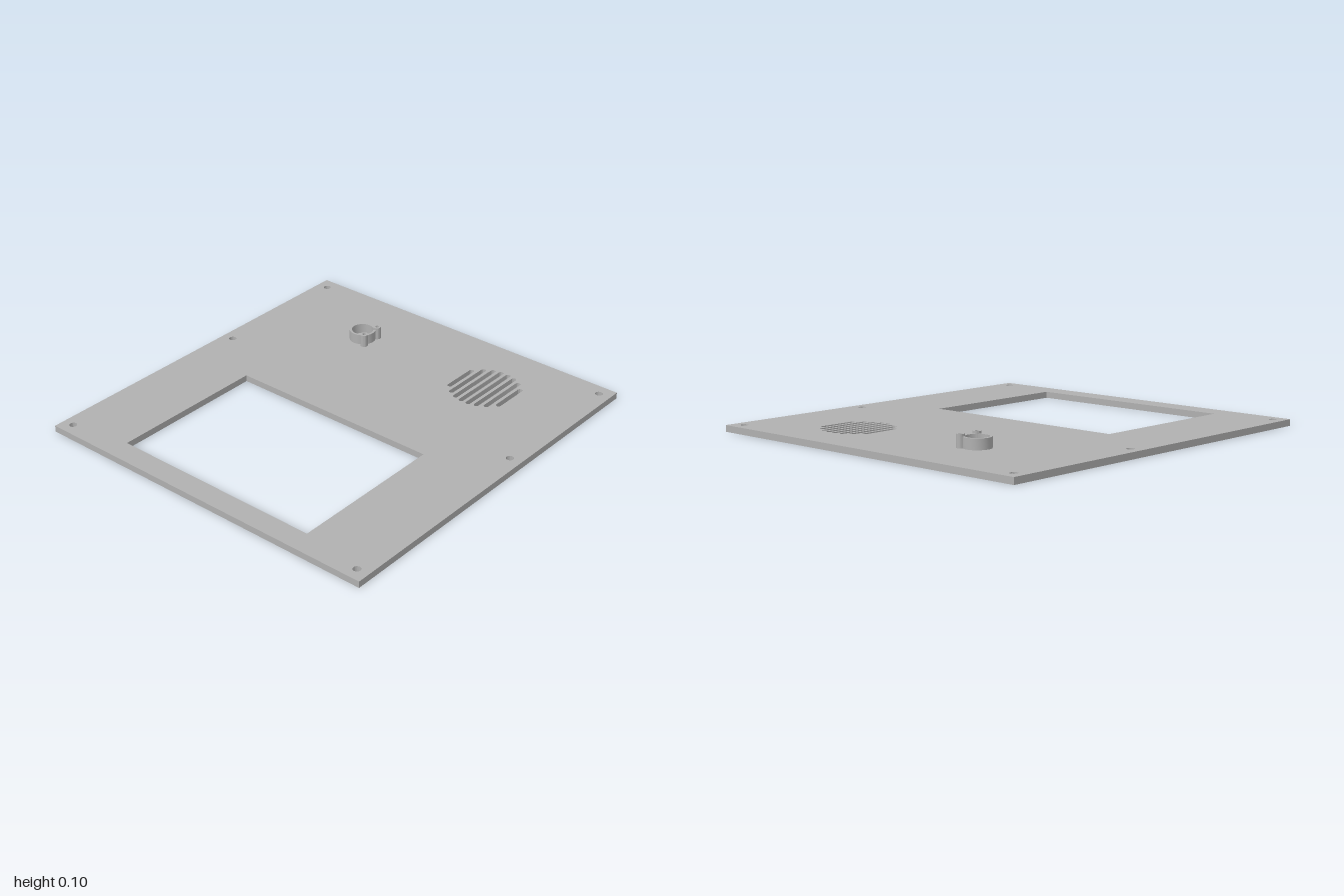
import * as THREE from 'three';
import { toCreasedNormals } from 'three/addons/utils/BufferGeometryUtils.js';

const T = 0.033; // plate thickness

function circle(x, z, r, Type = THREE.Path) {
  const p = new Type();
  p.absarc(x, -z, r, 0, Math.PI * 2, false);
  return p;
}

function rect(x0, x1, z0, z1, Type = THREE.Path) {
  return new Type([[x0, -z1], [x1, -z1], [x1, -z0], [x0, -z0]].map(([x, y]) => new THREE.Vector2(x, y)));
}

// Round-ended slot along x
function slot(x, z, half, r) {
  const p = new THREE.Path();
  p.absarc(x + half - r, -z, r, -Math.PI / 2, Math.PI / 2, false);
  p.absarc(x - half + r, -z, r, Math.PI / 2, Math.PI * 1.5, false);
  p.closePath();
  return p;
}

export function createModel() {
  const group = new THREE.Group();
  const grey = new THREE.MeshStandardMaterial({ color: 0xb0b0b0 });
  grey.name = 'panel grey';

  // Extrude a plan outline upward between two heights
  function slab(name, shape, y0, y1, parent = group) {
    const geo = new THREE.ExtrudeGeometry(shape, { depth: y1 - y0, bevelEnabled: false, curveSegments: 16 });
    geo.rotateX(-Math.PI / 2);
    geo.translate(0, y0, 0);
    const mesh = new THREE.Mesh(toCreasedNormals(geo, 0.6), grey);
    mesh.name = name;
    parent.add(mesh);
  }

  // Panel with display window
  const plate = rect(-1, 1, -0.946, 0.946, THREE.Shape);
  plate.holes.push(rect(-0.884, -0.059, -0.571, 0.556));

  // Screw holes
  for (const x of [-0.938, 0.175, 0.935])
    for (const z of [-0.886, 0.883]) plate.holes.push(circle(x, z, 0.019));

  // Speaker grille
  [0.104, 0.147, 0.171, 0.181, 0.181, 0.171, 0.147, 0.104].forEach((half, i) => {
    plate.holes.push(slot(0.617, 0.27 + i * 0.0424, half, 0.0125));
  });

  // Microphone holes
  const mx = 0.617, mz = -0.37;
  plate.holes.push(circle(mx, mz, 0.009));
  for (let i = 0; i < 6; i++) {
    const a = i * Math.PI / 3;
    plate.holes.push(circle(mx + Math.cos(a) * 0.025, mz + Math.sin(a) * 0.025, 0.009));
  }
  slab('panel', plate, 0, T);

  // Microphone holder: ring and two screw posts
  const holder = new THREE.Group();
  holder.name = 'microphoneHolder';
  group.add(holder);
  const ring = circle(mx, mz, 0.068, THREE.Shape);
  ring.holes.push(circle(mx, mz, 0.056));
  slab('holderRing', ring, T, 0.086, holder);
  for (const s of [-1, 1]) {
    const x = mx + s * 0.053, z = mz + 0.054;
    const post = circle(x, z, 0.02, THREE.Shape);
    post.holes.push(circle(x, z, 0.01));
    slab(s < 0 ? 'rightPost' : 'leftPost', post, T, 0.098, holder);
  }
  return group;
}
